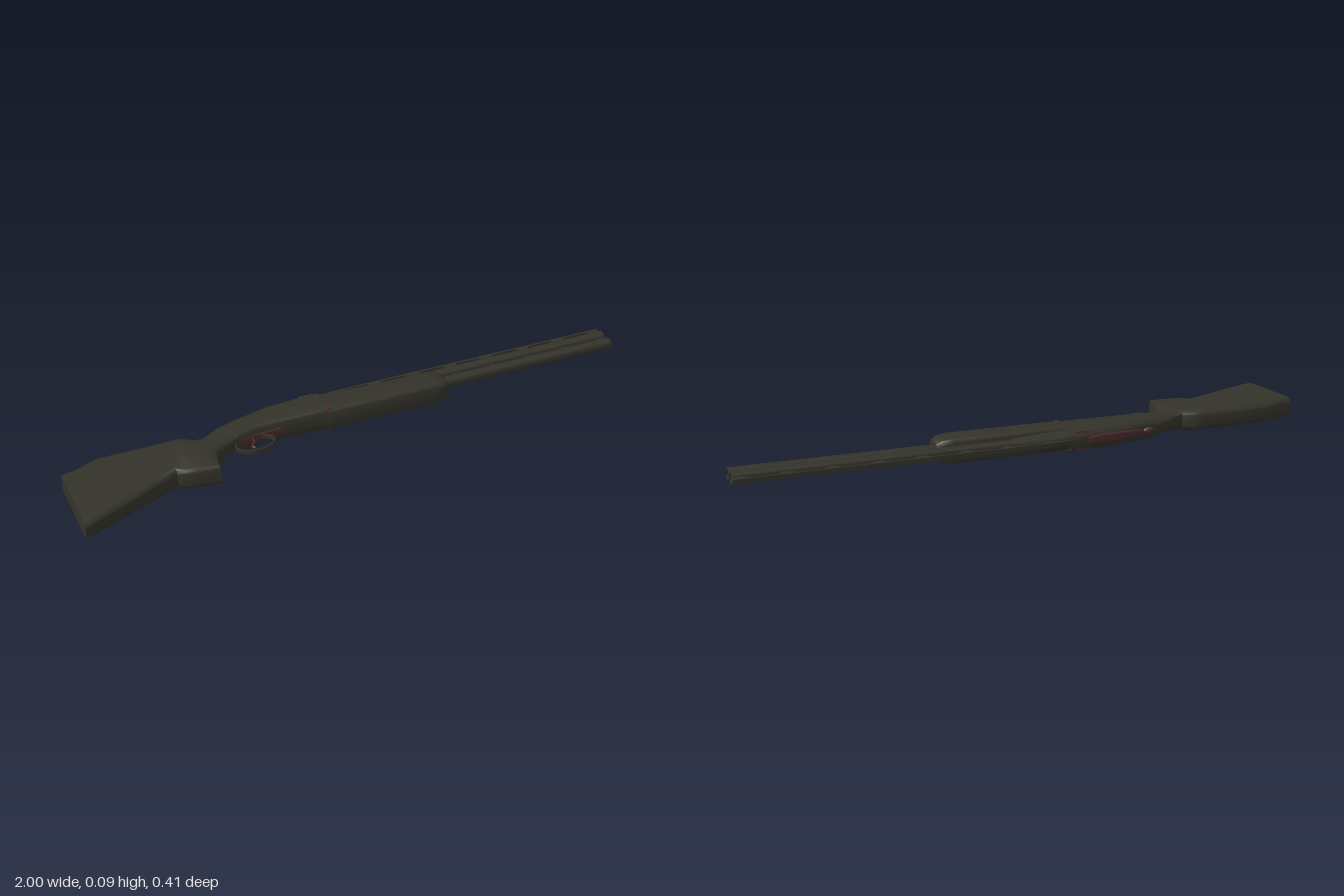
import * as THREE from 'three';
import { toCreasedNormals } from 'three/addons/utils/BufferGeometryUtils.js';

const olive = new THREE.MeshStandardMaterial({ color: 0x34332a, name: 'olive' });
const maroon = new THREE.MeshStandardMaterial({ color: 0x4a2b2b, name: 'maroon' });
const MID = 0.043; // height of the long axis, the model lies on its side

export function createModel() {
  const group = new THREE.Group();
  group.name = 'shotgun';

  function add(name, geo, mat = olive, x = 0, y = MID, z = 0) {
    const mesh = new THREE.Mesh(geo, mat);
    mesh.name = name;
    mesh.position.set(x, y, z);
    group.add(mesh);
    return mesh;
  }

  // Rounded-rectangle sections joined along x:
  // [xTop, zTop, xBottom, zBottom, halfWidth, topRound, bottomRound, flatPart]
  function loft(sections, crease = 0.6) {
    const pos = [], idx = [], S = 5, N = 4 * (S + 1);
    for (const [xt, zt, xb, zb, w, ct, cb, f] of sections) {
      for (let q = 0; q < 4; q++) {
        for (let s = 0; s <= S; s++) {
          const a = (q + s / S) * Math.PI / 2;
          const sy = q === 0 || q === 3 ? 1 : -1;
          const y = w * (sy * f + (1 - f) * Math.cos(a));
          const z = q < 2 ? zb - cb + cb * Math.sin(a) : zt + ct + ct * Math.sin(a);
          pos.push(xt + (xb - xt) * (z - zt) / (zb - zt), y, z);
        }
      }
    }
    const last = sections.length - 1;
    for (let i = 0; i < last; i++) {
      for (let j = 0; j < N; j++) {
        const a = i * N + j, b = i * N + (j + 1) % N;
        idx.push(a, b, a + N, b, b + N, a + N);
      }
    }
    for (let j = 1; j < N - 1; j++) {
      idx.push(0, j + 1, j, last * N, last * N + j, last * N + j + 1);
    }
    const geo = new THREE.BufferGeometry();
    geo.setAttribute('position', new THREE.Float32BufferAttribute(pos, 3));
    geo.setIndex(idx);
    return toCreasedNormals(geo, crease);
  }

  // Flat outline in (x, z), given thickness in y
  function plate(shape, thick) {
    const geo = new THREE.ExtrudeGeometry(shape, { depth: thick, bevelEnabled: false, curveSegments: 28 });
    geo.translate(0, 0, -thick / 2);
    return geo.rotateX(Math.PI / 2);
  }

  // Butt, comb, grip and wrist
  add('stock', loft([
    [-1, -0.08, -0.99, 0.2, 0.035, 0.03, 0.04, 0.45],
    [-0.957, -0.085, -0.95, 0.183, 0.037, 0.03, 0.04, 0.45],
    [-0.877, -0.12, -0.87, 0.148, 0.038, 0.04, 0.04, 0.45],
    [-0.75, -0.12, -0.75, 0.095, 0.038, 0.04, 0.035, 0.45],
    [-0.66, -0.12, -0.66, 0.055, 0.038, 0.04, 0.025, 0.45],
    [-0.63, -0.12, -0.637, 0.069, 0.038, 0.04, 0.015, 0.5],
    [-0.6, -0.12, -0.6, 0.076, 0.038, 0.04, 0.012, 0.5],
    [-0.56, -0.095, -0.527, 0.087, 0.036, 0.035, 0.012, 0.5],
    [-0.53, -0.1, -0.515, 0.02, 0.031, 0.035, 0.02, 0.4],
    [-0.5, -0.12, -0.495, -0.01, 0.029, 0.035, 0.03, 0.3],
    [-0.465, -0.14, -0.46, -0.037, 0.031, 0.04, 0.03, 0.3],
    [-0.41, -0.152, -0.41, -0.056, 0.036, 0.04, 0.02, 0.35],
  ]));

  // Action body with rounded top
  add('receiver', loft([
    [-0.42, -0.15, -0.42, -0.052, 0.037, 0.04, 0.012, 0.35],
    [-0.35, -0.167, -0.35, -0.066, 0.039, 0.045, 0.012, 0.3],
    [-0.29, -0.183, -0.29, -0.068, 0.039, 0.05, 0.01, 0.3],
    [-0.155, -0.194, -0.155, -0.064, 0.039, 0.05, 0.01, 0.3],
    [-0.1, -0.196, -0.1, -0.062, 0.039, 0.05, 0.01, 0.3],
  ]));
  add('barrelBreech', loft([
    [-0.1, -0.194, -0.1, -0.09, 0.033, 0.04, 0.02, 0.2],
    [0, -0.188, 0, -0.09, 0.028, 0.035, 0.02, 0.15],
    [0.1, -0.183, 0.1, -0.09, 0.022, 0.025, 0.02, 0.1],
  ]));

  // Fore-end with chamfered tip
  add('foreEnd', loft([
    [-0.1, -0.155, -0.1, -0.058, 0.041, 0.014, 0.016, 0.55],
    [0.29, -0.155, 0.29, -0.056, 0.041, 0.014, 0.016, 0.55],
    [0.325, -0.148, 0.325, -0.058, 0.037, 0.014, 0.018, 0.5],
    [0.342, -0.135, 0.342, -0.07, 0.026, 0.014, 0.018, 0.5],
  ]));

  // Two hollow barrels, one above the other
  for (const [name, z] of [['upperBarrel', -0.163], ['lowerBarrel', -0.115]]) {
    const profile = [[0, -0.1], [0.02, -0.1], [0.02, 1], [0.016, 1], [0.016, 0.85], [0, 0.85]]
      .map(([r, x]) => new THREE.Vector2(r, x));
    const geo = toCreasedNormals(new THREE.LatheGeometry(profile, 24).rotateZ(-Math.PI / 2), 0.6);
    add(name, geo, olive, 0, MID, z);
  }

  // Spacers between the barrels
  for (let i = 0; i < 5; i++) {
    add('barrelSpacer', new THREE.BoxGeometry(0.018, 0.014, 0.016), olive, 0.4 + i * 0.143, MID, -0.139);
  }
  add('muzzleSpacer', new THREE.BoxGeometry(0.02, 0.014, 0.016), olive, 0.985, MID, -0.139);

  // Ventilated sighting rib
  const rib = new THREE.Shape([[-0.16, -0.194], [-0.02, -0.205], [1, -0.205], [1, -0.178], [-0.16, -0.178]]
    .map(p => new THREE.Vector2(...p)));
  for (let i = 0; i < 7; i++) {
    const x = 0.05 + i * 0.143;
    rib.holes.push(new THREE.Path([[x - 0.06, -0.182], [x + 0.06, -0.182], [x + 0.044, -0.198], [x - 0.044, -0.198]]
      .map(p => new THREE.Vector2(...p))));
  }
  add('rib', plate(rib, 0.015));

  // Trigger guard loop and trigger
  const guard = new THREE.Shape().absellipse(-0.372, -0.03, 0.068, 0.042, 0, Math.PI * 2);
  guard.holes.push(new THREE.Path().absellipse(-0.372, -0.03, 0.063, 0.037, 0, Math.PI * 2));
  add('triggerGuard', toCreasedNormals(plate(guard, 0.015), 0.6));
  const curve = new THREE.CatmullRomCurve3([[-0.37, -0.065], [-0.372, -0.04], [-0.385, -0.022], [-0.378, -0.01]]
    .map(([x, z]) => new THREE.Vector3(x, 0, z)));
  add('trigger', new THREE.TubeGeometry(curve, 12, 0.004, 8), maroon);
  add('triggerPlate', loft([
    [-0.41, -0.065, -0.41, -0.052, 0.012, 0.002, 0.002, 0.8],
    [-0.35, -0.07, -0.35, -0.062, 0.012, 0.002, 0.002, 0.8],
    [-0.27, -0.07, -0.27, -0.064, 0.012, 0.002, 0.002, 0.8],
  ]), maroon);

  // Opening lever along the top of the action, with its thumb piece
  add('topLever', loft([
    [-0.37, -0.168, -0.37, -0.155, 0.008, 0.005, 0.002, 0.4],
    [-0.29, -0.189, -0.29, -0.175, 0.014, 0.006, 0.002, 0.4],
    [-0.22, -0.194, -0.22, -0.18, 0.016, 0.006, 0.002, 0.4],
    [-0.16, -0.198, -0.16, -0.185, 0.01, 0.005, 0.002, 0.4],
  ]), maroon);
  const thumb = add('thumbPiece', new THREE.SphereGeometry(1, 16, 12), maroon, -0.395, MID, -0.162);
  thumb.scale.set(0.02, 0.012, 0.01);

  // Side latches and hinge pins, mirrored
  for (const s of [-1, 1]) {
    add('sideLatch', new THREE.BoxGeometry(0.05, 0.008, 0.014), maroon, -0.14, MID + s * 0.026, -0.18);
    add('hingePin', new THREE.BoxGeometry(0.014, 0.006, 0.035), maroon, -0.095, MID + s * 0.0395, -0.085);
  }
  return group;
}
